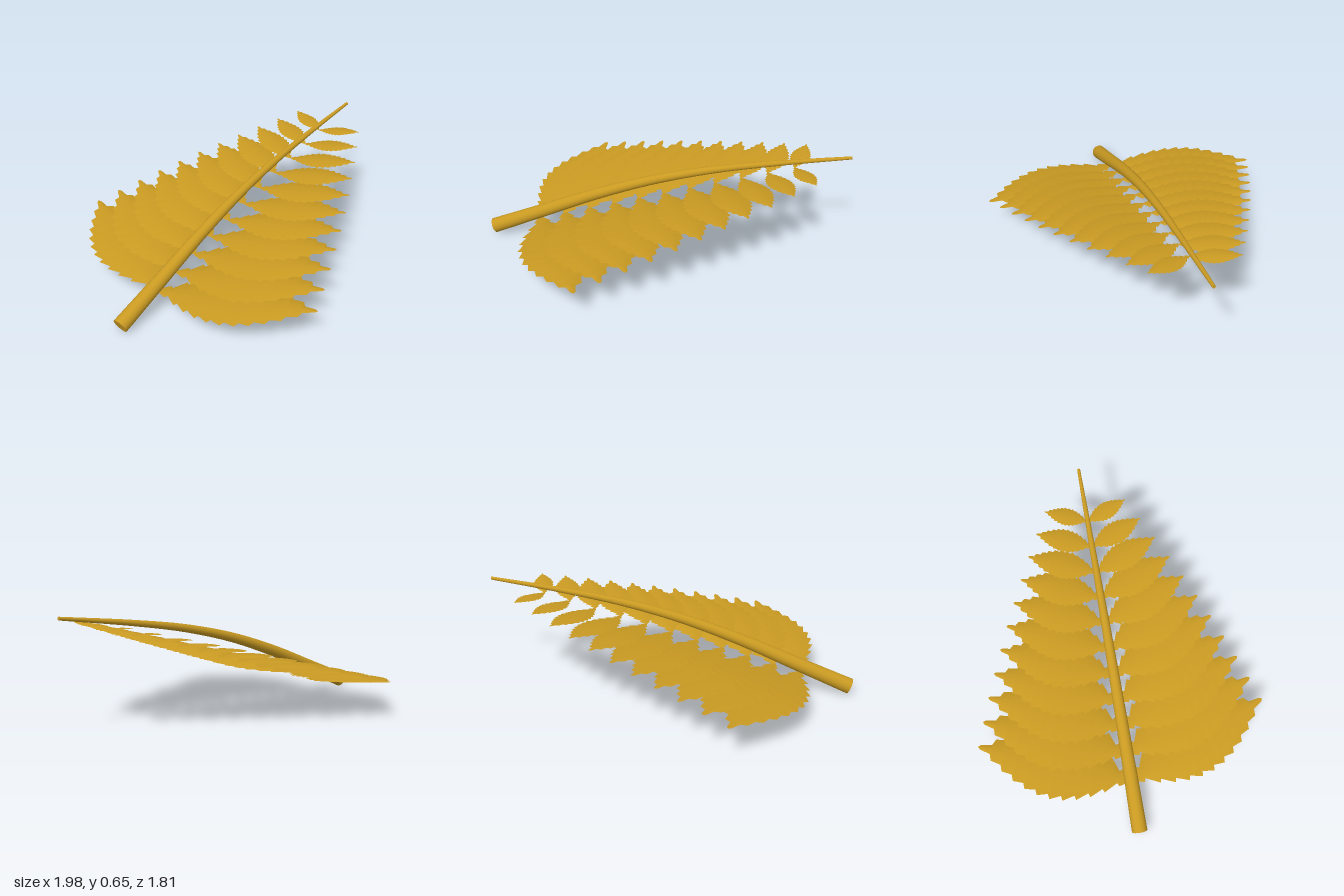
import * as THREE from 'three';

const frondMat = new THREE.MeshStandardMaterial({ color: 0xc99a22, side: THREE.DoubleSide });
frondMat.name = 'golden frond';

const LEAVES = 11, TEETH = 12, ACROSS = 6;

// Tapered, gently bowed stalk with flat ends
function makeStem() {
  const stem = new THREE.Group();
  stem.name = 'stem';
  const profile = [[-0.865, 0.048], [-0.6, 0.178], [-0.3, 0.325], [0, 0.445], [0.3, 0.53], [0.6, 0.587], [0.99, 0.645]];
  const curve = new THREE.CatmullRomCurve3(
    profile.map(([x, y]) => new THREE.Vector3(x, y, 0.555 - (x + 0.865) * 0.753)));
  const SEG = 48, SIDES = 20;
  const radius = (t) => 0.05 - 0.04 * t;
  const geo = new THREE.TubeGeometry(curve, SEG, 1, SIDES);
  const pos = geo.attributes.position, v = new THREE.Vector3();
  for (let i = 0; i <= SEG; i++) {
    const c = curve.getPointAt(i / SEG);
    for (let j = 0; j <= SIDES; j++) {
      const k = i * (SIDES + 1) + j;
      v.fromBufferAttribute(pos, k).sub(c).multiplyScalar(radius(i / SEG)).add(c);
      pos.setXYZ(k, v.x, v.y, v.z);
    }
  }
  const stalk = new THREE.Mesh(geo, frondMat);
  stalk.name = 'stalk';
  stem.add(stalk);
  for (const t of [0, 1]) {
    const cap = new THREE.Mesh(new THREE.CircleGeometry(radius(t), SIDES), frondMat);
    const p = curve.getPointAt(t), dir = curve.getTangentAt(t).multiplyScalar(t ? 1 : -1);
    cap.name = t ? 'stemTipCap' : 'stemBaseCap';
    cap.position.copy(p);
    cap.lookAt(p.clone().add(dir));
    stem.add(cap);
  }
  return stem;
}

// Unit leaflet: runs along +x, saw-toothed edges, slightly domed in y
function makeLeafletGeometry() {
  const rows = [[0, 0.012]];
  const width = (u) => 0.225 * Math.sin(Math.PI * Math.pow(u, 0.95));
  for (let k = 0; k < TEETH; k++) {
    const peak = (k + 0.8) / TEETH, valley = (k + 1) / TEETH;
    rows.push([peak, width(peak) + 0.004]);
    rows.push([valley, k === TEETH - 1 ? 0 : Math.max(width(valley) - 0.026, 0.02)]);
  }
  const points = [], index = [];
  rows.forEach(([u, w], i) => {
    const bulge = Math.sin(Math.PI * u);
    for (let j = 0; j <= ACROSS; j++) {
      const s = (j / ACROSS) * 2 - 1;
      points.push(u, (0.02 - 0.028 * s * s) * bulge, s * w);
      if (i < rows.length - 1 && j < ACROSS) {
        const a = i * (ACROSS + 1) + j, b = a + ACROSS + 1;
        index.push(a, a + 1, b, b, a + 1, b + 1);
      }
    }
  });
  const geo = new THREE.BufferGeometry();
  geo.setAttribute('position', new THREE.Float32BufferAttribute(points, 3));
  geo.setIndex(index);
  geo.computeVertexNormals();
  return geo;
}

export function createModel() {
  const model = new THREE.Group();
  model.name = 'fernFrond';
  model.add(makeStem());

  // Paired leaflets, level across, each rising gently toward its tip
  const geo = makeLeafletGeometry();
  const first = new THREE.Vector3(-0.61, 0.125, 0.365);
  const last = new THREE.Vector3(0.71, 0.565, -0.63);
  const along = new THREE.Vector3(0.798, 0, -0.602);
  for (const side of [1, -1]) {
    const row = new THREE.Group();
    row.name = side > 0 ? 'frontLeaflets' : 'backLeaflets';
    const out = new THREE.Vector3(0.602, 0, 0.798).multiplyScalar(side);
    const axis = along.clone().multiplyScalar(0.36).addScaledVector(out, 0.933).setY(0.1).normalize();
    const across = new THREE.Vector3(-axis.z, 0, axis.x).normalize();
    const up = new THREE.Vector3().crossVectors(across, axis);
    const basis = new THREE.Matrix4().makeBasis(axis, up, across);
    for (let i = 0; i < LEAVES; i++) {
      const t = i / (LEAVES - 1);
      const leaf = new THREE.Mesh(geo, frondMat);
      leaf.name = 'leaflet';
      leaf.quaternion.setFromRotationMatrix(basis);
      leaf.position.lerpVectors(first, last, t);
      leaf.scale.setScalar(1 - 0.57 * t - 0.14 * t * t);
      row.add(leaf);
    }
    model.add(row);
  }
  return model;
}
